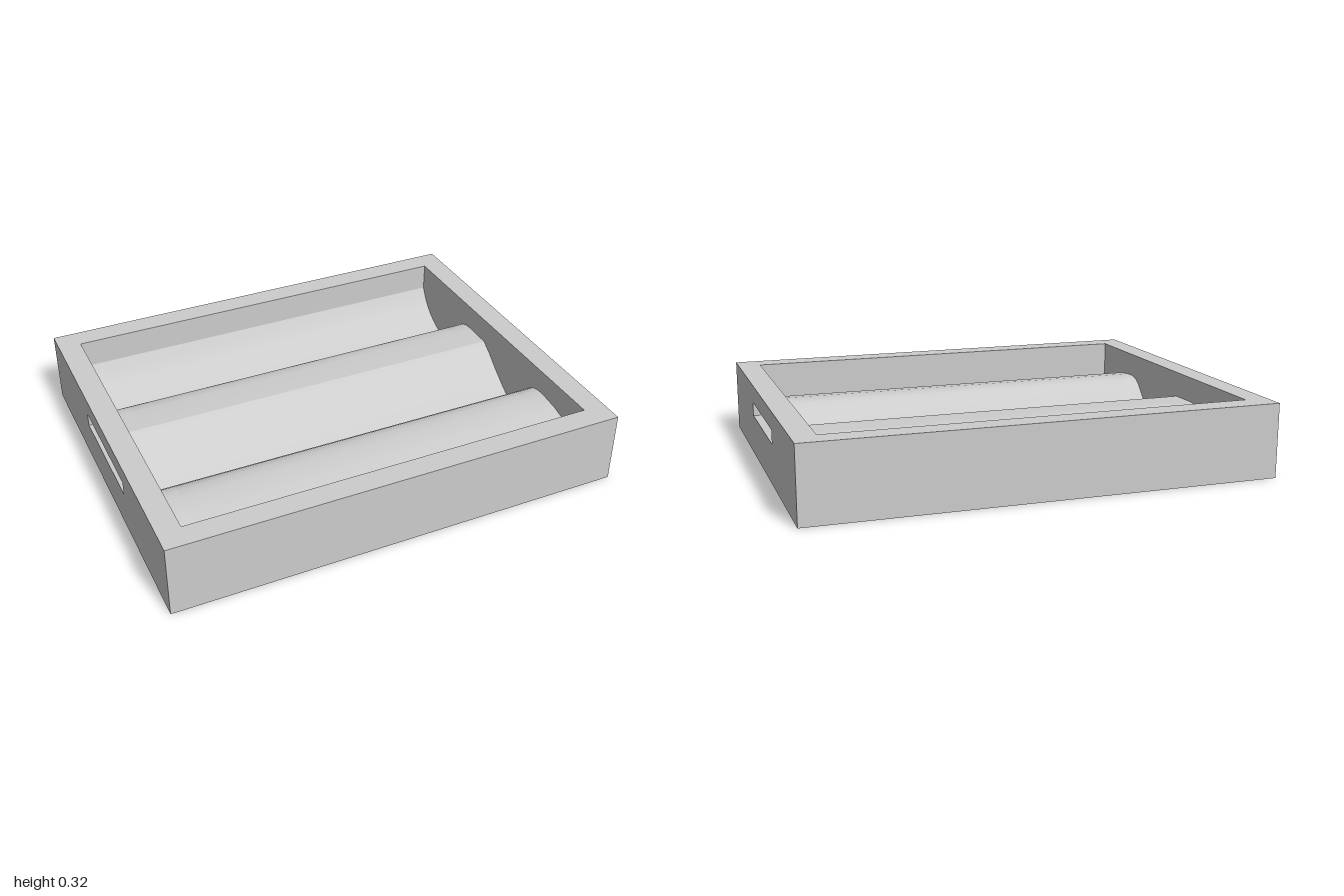
import * as THREE from 'three';
import { toCreasedNormals } from 'three/addons/utils/BufferGeometryUtils.js';

const H = 0.32;      // tray height
const D = 0.805;     // half depth
const IX = 0.9;      // inner half width
const IZ = 0.703;    // inner half depth

const grey = new THREE.MeshStandardMaterial({ color: 0xcccccc });
grey.name = 'plainGrey';

function add(parent, name, geometry, x = 0, y = 0, z = 0) {
  const mesh = new THREE.Mesh(geometry, grey);
  mesh.name = name;
  mesh.position.set(x, y, z);
  parent.add(mesh);
  return mesh;
}

// Extrudes a (z, y) outline along x, centred on x = 0
function alongX(shape, width) {
  const g = new THREE.ExtrudeGeometry(shape, { depth: width, bevelEnabled: false });
  g.rotateY(-Math.PI / 2);
  g.translate(width / 2, 0, 0);
  return g;
}

const toVectors = (points) => points.map(([z, y]) => new THREE.Vector2(z, y));

// Cradle surface from back to front: two V valleys and two broad ridges
const cradle = [
  [-IZ, 0.195], [-0.68, 0.155], [-0.65, 0.115], [-0.61, 0.08], [-0.56, 0.05], [-0.51, 0.03],
  [-0.33, 0.175], [-0.3, 0.196], [-0.27, 0.207], [-0.23, 0.21], [-0.1, 0.208],
  [-0.05, 0.175], [0.02, 0.118], [0.09, 0.068], [0.15, 0.03],
  [0.3, 0.185], [0.33, 0.206], [0.37, 0.215], [0.42, 0.214], [0.5, 0.205],
  [0.6, 0.18], [IZ, 0.145],
];

// Grooves under the ridges, open at the bottom: [back z, front z, ceiling y]
const grooves = [[-0.26, -0.08, 0.17], [0.37, 0.55, 0.17]];

function cradleShape(withGrooves) {
  const points = [...cradle, [IZ, 0]];
  if (withGrooves) {
    for (const [z0, z1, top] of [...grooves].reverse()) {
      points.push([z1, 0], [z1, top], [z0, top], [z0, 0]);
    }
  }
  points.push([-IZ, 0]);
  return new THREE.Shape(toVectors(points));
}

export function createModel() {
  const tray = new THREE.Group();
  tray.name = 'tray';

  // Front and back walls
  const wall = D - IZ;
  for (const [name, s] of [['frontWall', 1], ['backWall', -1]]) {
    add(tray, name, new THREE.BoxGeometry(2, H, wall), 0, H / 2, s * (IZ + wall / 2));
  }

  // Side walls: an outer skin with the grip opening and a solid inner skin
  const skin = (1 - IX) / 2;
  const outline = new THREE.Shape(toVectors([[-IZ, 0], [IZ, 0], [IZ, H], [-IZ, H]]));
  outline.holes.push(new THREE.Path(toVectors(
    [[-0.26, 0.18], [-0.26, 0.24], [0.26, 0.24], [0.26, 0.18]])));
  for (const [name, s] of [['left', 1], ['right', -1]]) {
    add(tray, name + 'GripWall', alongX(outline, skin), s * (1 - skin / 2));
    add(tray, name + 'InnerWall', new THREE.BoxGeometry(skin, H, 2 * IZ),
      s * (IX + skin / 2), H / 2, 0);
  }

  // Shaped floor: grooved middle and solid ends
  const grooveX = 0.805;
  const smooth = (g) => toCreasedNormals(g, 0.5);
  add(tray, 'cradleMiddle', smooth(alongX(cradleShape(true), 2 * grooveX)));
  const endWidth = IX - grooveX;
  for (const [name, s] of [['cradleLeftEnd', 1], ['cradleRightEnd', -1]]) {
    add(tray, name, smooth(alongX(cradleShape(false), endWidth)), s * (grooveX + endWidth / 2));
  }

  return tray;
}
